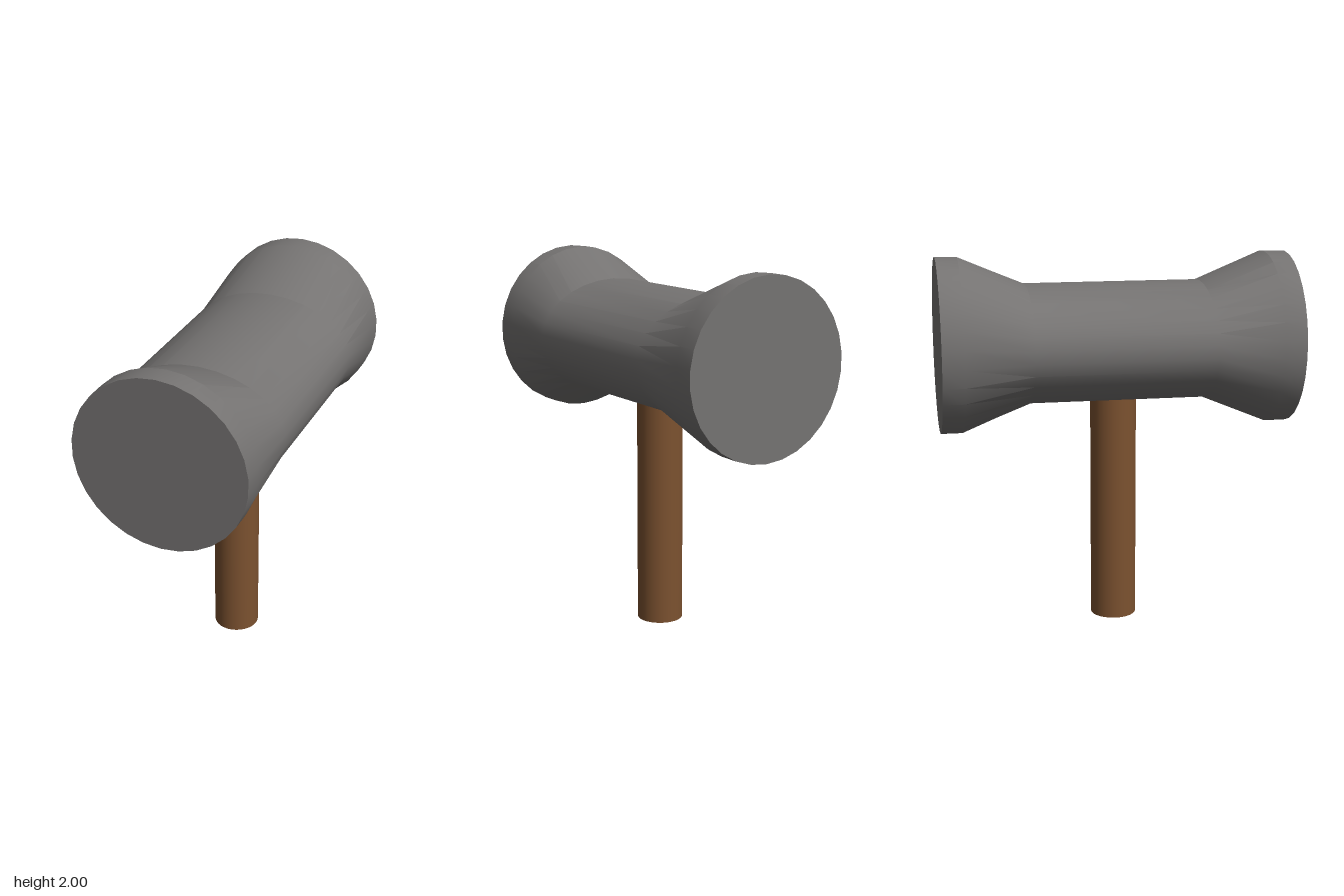
import * as THREE from 'three';
import { toCreasedNormals } from 'three/addons/utils/BufferGeometryUtils.js';

export function createModel() {
  const model = new THREE.Group();
  model.name = 'mallet';

  const steel = new THREE.MeshStandardMaterial({ name: 'grey steel', color: 0x757372 });
  const wood = new THREE.MeshStandardMaterial({ name: 'brown wood', color: 0x7c5230 });

  // Head: round striking faces that flatten to an oval waist (top and bottom only)
  const radius = 0.4625;
  const waist = 0.3125 / radius;
  const stations = [
    [0.937, 1], [0.823, 1], [0.47, waist],
    [-0.47, waist], [-0.823, 1], [-0.937, 1],
  ];
  const headGeometry = new THREE.CylinderGeometry(radius, radius, 1, 30, stations.length - 1);
  headGeometry.rotateX(Math.PI / 2);
  const p = headGeometry.attributes.position;
  for (let i = 0; i < p.count; i++) {
    const ring = Math.round((0.5 - p.getZ(i)) * (stations.length - 1));
    const [z, flatten] = stations[ring];
    p.setY(i, p.getY(i) * flatten);
    p.setZ(i, z);
  }
  const head = new THREE.Mesh(toCreasedNormals(headGeometry, 0.33), steel);
  head.name = 'head';
  head.position.y = 2 - radius;
  model.add(head);

  // Handle: plain round shaft running up into the head
  const handleLength = 1.4;
  const handle = new THREE.Mesh(new THREE.CylinderGeometry(0.124, 0.124, handleLength, 32), wood);
  handle.name = 'handle';
  handle.position.y = handleLength / 2;
  model.add(handle);

  return model;
}
